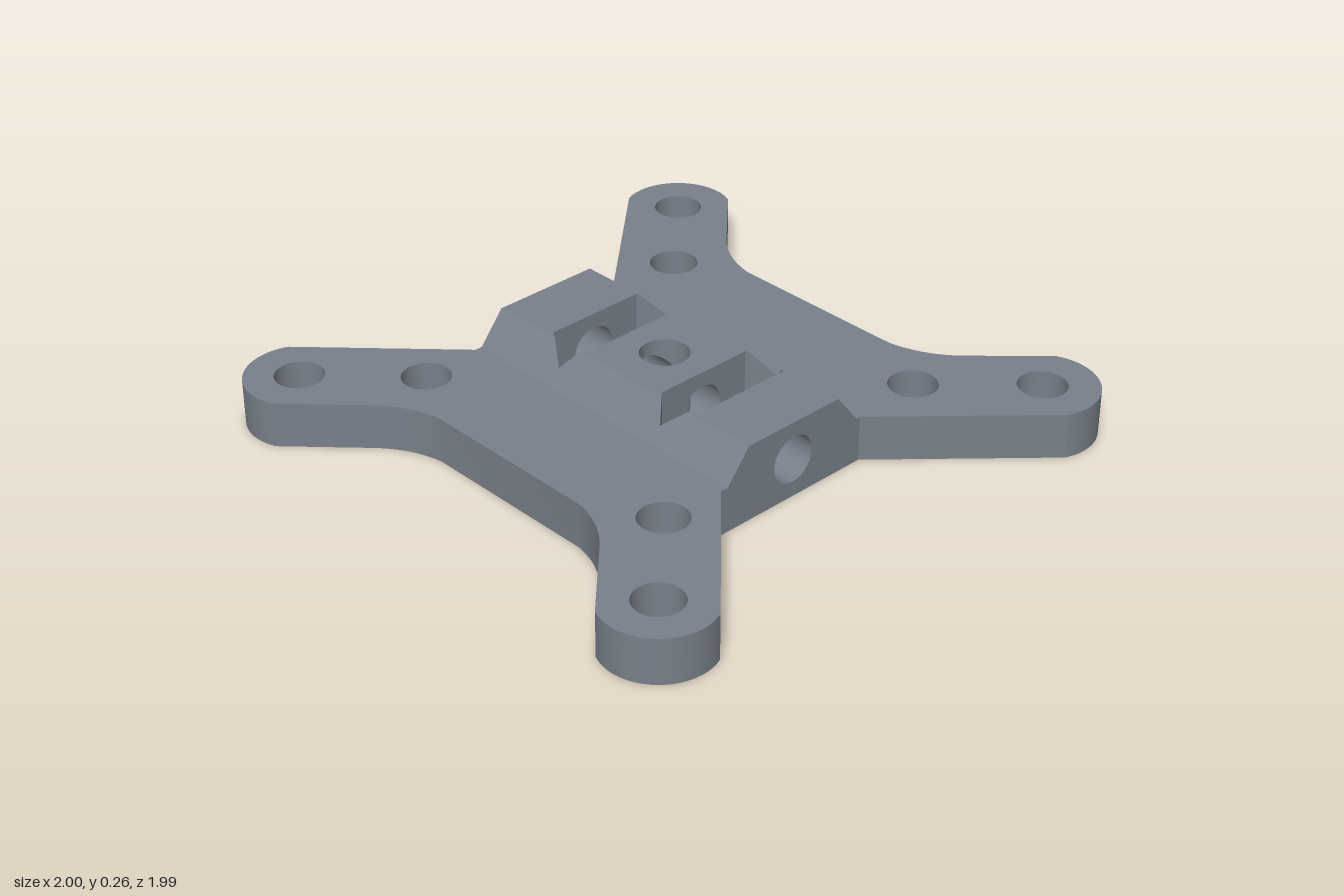
import * as THREE from 'three';
import { mergeGeometries, toCreasedNormals } from 'three/addons/utils/BufferGeometryUtils.js';

const COLOR = 0x79808a;
const PLATE = 0.155, TOP = 0.262;            // plate and raised block heights
const HALF = 0.555, SLOT_IN = 0.165, SLOT_TIP = 0.228, SLOT_OUT = 0.328;
const R = 0.08, ZC = 0.02, YC = 0.132;       // hole radius, bore centre
const SEG = 24;

// Distances from the middle for the front and back halves
const FRONT = { sign: 1, name: 'front', flat: 0.187, tip: 0.255, crest: 0.207, toe: 0.294, edge: 0.32,
  pad: 0.812, padR: 0.182, side: [0.555, 0.32], waist: 0.662, fillet: 0.77, hole: 0.815, inner: 0.533 };
const BACK = { sign: -1, name: 'back', flat: 0.165, tip: 0.24, crest: 0.17, toe: 0.254, edge: 0.27,
  pad: 0.815, padR: 0.185, side: [0.555, 0.27], waist: 0.662, fillet: 0.765, hole: 0.817, inner: 0.53 };

const circle = (x, y) => new THREE.Path().absarc(x, y, R, 0, Math.PI * 2, true);

// Flange with two rounded arms, each with two screw holes
function armPlate(p) {
  const half = [new THREE.Vector2(...p.side)];
  for (let i = 0; i <= 40; i++) {
    const a = -0.42 + (i / 40) * 2.43;
    half.push(new THREE.Vector2(p.pad + p.padR * Math.cos(a), p.pad + p.padR * Math.sin(a)));
  }
  half.push(...new THREE.QuadraticBezierCurve(
    new THREE.Vector2(0.525, p.fillet),
    new THREE.Vector2(0.435, p.waist + 0.018),
    new THREE.Vector2(0.315, p.waist)).getPoints(20));
  const mirrored = half.map(v => new THREE.Vector2(-v.x, v.y)).reverse();
  const shape = new THREE.Shape([...half, ...mirrored]);
  for (const s of [1, -1]) {
    shape.holes.push(circle(s * p.hole, p.hole), circle(s * 0.537, p.inner));
  }
  const geo = new THREE.ExtrudeGeometry(shape, { depth: PLATE, bevelEnabled: false, curveSegments: SEG });
  geo.rotateX(p.sign * Math.PI / 2);
  if (p.sign > 0) geo.translate(0, PLATE, 0);
  return toCreasedNormals(geo, 0.3);
}

// Sloped rail running across in x, its inner side notched by the pointed slots
function rail(p) {
  const t = (p.crest - p.flat) / (p.tip - p.flat);
  const mix = THREE.MathUtils.lerp;
  const right = [
    [SLOT_IN, p.flat], [mix(SLOT_IN, SLOT_TIP, t), p.crest], [SLOT_TIP, p.tip],
    [mix(SLOT_OUT, SLOT_TIP, t), p.crest], [SLOT_OUT, p.flat], [HALF, p.flat]];
  const stations = [...right.map(([x, s]) => [-x, s]).reverse(), ...right];
  const rings = stations.map(([x, s]) => {
    const c = Math.max(s, p.crest);
    const y = mix(TOP, PLATE, (c - p.crest) / (p.toe - p.crest));
    return [[s, 0], [s, y], [c, y], [p.toe, PLATE], [p.edge, PLATE], [p.edge, 0]]
      .map(([w, h]) => [x, h, p.sign * w]);
  });
  const pos = [];
  const tri = (a, b, c) => pos.push(...a, ...(p.sign > 0 ? [...b, ...c] : [...c, ...b]));
  for (let i = 0; i + 1 < rings.length; i++) {
    const a = rings[i], b = rings[i + 1];
    for (let j = 0; j < 6; j++) {
      const k = (j + 1) % 6;
      tri(a[j], a[k], b[k]);
      tri(a[j], b[k], b[j]);
    }
  }
  const first = rings[0], last = rings[rings.length - 1];
  for (let j = 1; j < 5; j++) {
    tri(last[0], last[j], last[j + 1]);
    tri(first[0], first[j + 1], first[j]);
  }
  const geo = new THREE.BufferGeometry();
  geo.setAttribute('position', new THREE.Float32BufferAttribute(pos, 3));
  geo.computeVertexNormals();
  return geo;
}

function rectangle(x0, x1, y0, y1, hole) {
  const shape = new THREE.Shape([[x0, y0], [x1, y0], [x1, y1], [x0, y1]].map(v => new THREE.Vector2(...v)));
  shape.holes.push(hole);
  return shape;
}

// Cross-section of the middle blocks, pierced by the bore
const boredSection = () => rectangle(-FRONT.flat, BACK.flat, 0, TOP, circle(-ZC, YC));

function endLug(x0) {
  const geo = new THREE.ExtrudeGeometry(boredSection(),
    { depth: HALF - SLOT_OUT, bevelEnabled: false, curveSegments: SEG });
  geo.rotateY(Math.PI / 2).translate(x0, 0, 0);
  return toCreasedNormals(geo, 0.5);
}

// Hole wall from the crossing of two equal bores out to a given distance
function crossedWall(outer) {
  const geo = new THREE.CylinderGeometry(R, R, 2, SEG * 2, 1, true);
  const pos = geo.attributes.position;
  const s = Math.sign(outer);
  for (let i = 0; i < pos.count; i++) {
    pos.setY(i, pos.getY(i) * s > 0 ? outer : s * Math.abs(pos.getX(i)));
  }
  return geo;
}

// Centre block: faces with holes, and the walls of the two crossing bores
function centreBlock() {
  const parts = [];
  for (const s of [1, -1]) {
    parts.push(new THREE.ShapeGeometry(boredSection(), SEG).rotateY(Math.PI / 2).translate(s * SLOT_IN, 0, 0));
    parts.push(crossedWall(s * SLOT_IN).rotateZ(-Math.PI / 2).translate(0, YC, ZC));
  }
  for (const y of [0, TOP]) {
    const face = rectangle(-SLOT_IN, SLOT_IN, -FRONT.flat, BACK.flat, circle(0, -ZC));
    parts.push(new THREE.ShapeGeometry(face, SEG).rotateX(-Math.PI / 2).translate(0, y, 0));
    parts.push(crossedWall(y - YC).translate(0, YC, ZC));
  }
  return mergeGeometries(parts);
}

export function createModel() {
  const group = new THREE.Group();
  const solid = new THREE.MeshStandardMaterial({ color: COLOR });
  const shell = new THREE.MeshStandardMaterial({ color: COLOR, side: THREE.DoubleSide });
  const add = (name, geo, mat = solid) => {
    const mesh = new THREE.Mesh(geo, mat);
    mesh.name = name;
    group.add(mesh);
  };
  for (const p of [FRONT, BACK]) {
    add(p.name + 'ArmPlate', armPlate(p));
    add(p.name + 'Rail', rail(p));
  }
  add('leftLug', endLug(SLOT_OUT));
  add('rightLug', endLug(-HALF));
  add('centreBlock', centreBlock(), shell);
  return group;
}
